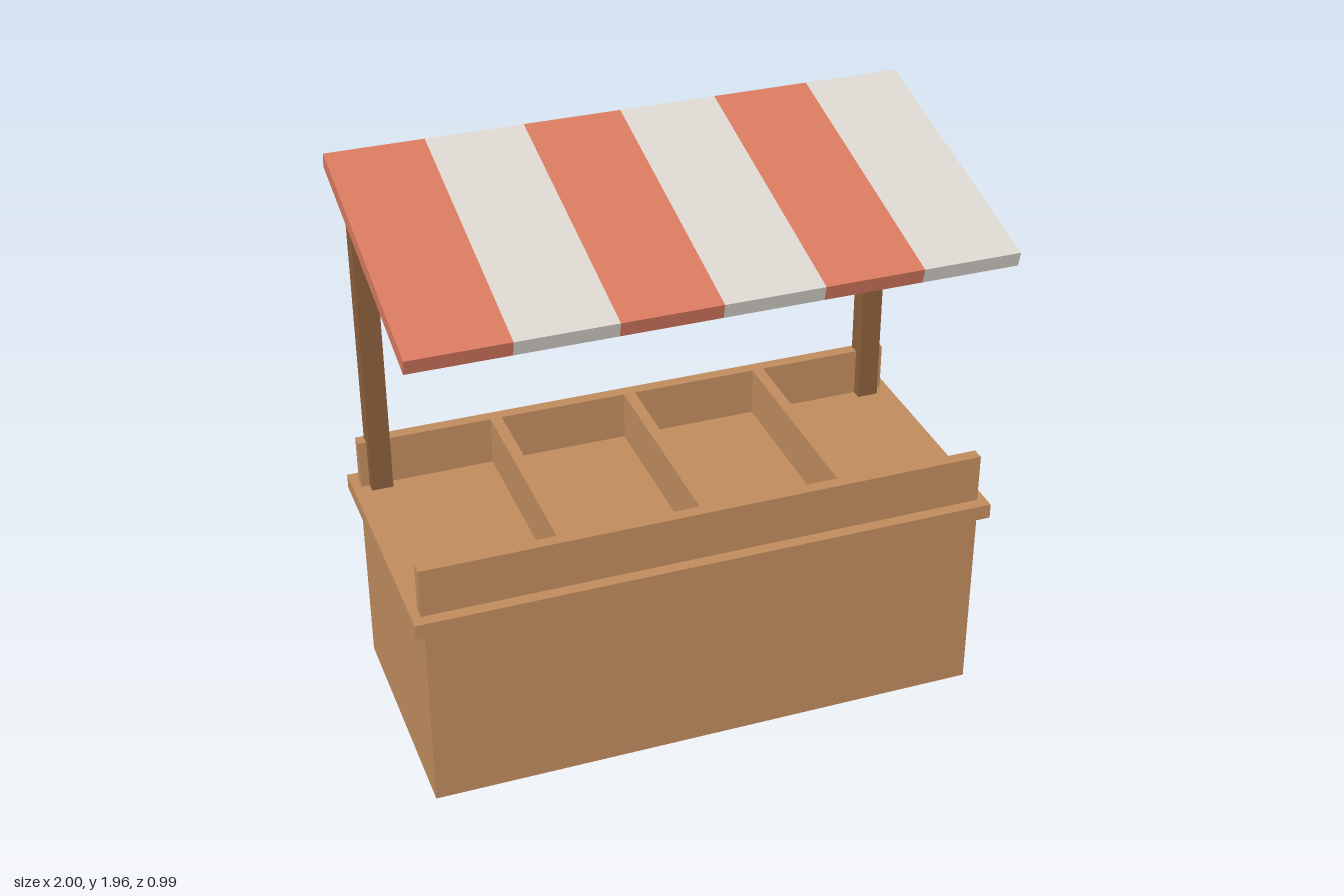
import * as THREE from 'three';

const material = (name, color) => {
  const m = new THREE.MeshStandardMaterial({ color });
  m.name = name;
  return m;
};

export function createModel() {
  const wood = material('light wood', 0xc08c5e);
  const darkWood = material('dark wood', 0x8c5f3c);
  const red = material('awning red', 0xd87a60);
  const cream = material('awning cream', 0xdcd7cf);

  const stall = new THREE.Group();
  stall.name = 'marketStall';

  // Box given by its extents along each axis
  const box = (name, mat, [x0, x1], [y0, y1], [z0, z1], parent = stall) => {
    const mesh = new THREE.Mesh(new THREE.BoxGeometry(x1 - x0, y1 - y0, z1 - z0), mat);
    mesh.position.set((x0 + x1) / 2, (y0 + y1) / 2, (z0 + z1) / 2);
    mesh.name = name;
    parent.add(mesh);
  };

  // Counter and its overhanging top
  box('counterBody', wood, [-0.965, 0.965], [0, 0.683], [-0.465, 0.403]);
  box('counterTop', wood, [-1, 1], [0.683, 0.736], [-0.495, 0.43]);

  // Display tray: long boards and three dividers
  const rim = [0.736, 0.908];
  box('frontBoard', wood, [-0.97, 0.97], rim, [0.345, 0.388]);
  box('backBoard', wood, [-0.97, 0.97], rim, [-0.448, -0.405]);
  for (const x of [-0.485, 0, 0.485]) {
    box('divider', wood, [x - 0.02, x + 0.02], rim, [-0.405, 0.345]);
  }

  // Rear posts
  for (const side of [-1, 1]) {
    const x = side * 0.905;
    box('post', darkWood, [x - 0.037, x + 0.037], [0.736, 1.888], [-0.442, -0.368]);
  }

  // Sloping striped awning
  const awning = new THREE.Group();
  awning.name = 'awning';
  awning.position.set(0, 1.814, 0.007);
  awning.rotation.x = Math.atan2(0.235, 0.96);
  stall.add(awning);
  const width = 0.33;
  for (let i = 0; i < 6; i++) {
    const x = (i - 3) * width;
    box('awningStripe', i % 2 ? cream : red, [x, x + width], [-0.026, 0.026], [-0.494, 0.494], awning);
  }

  return stall;
}
